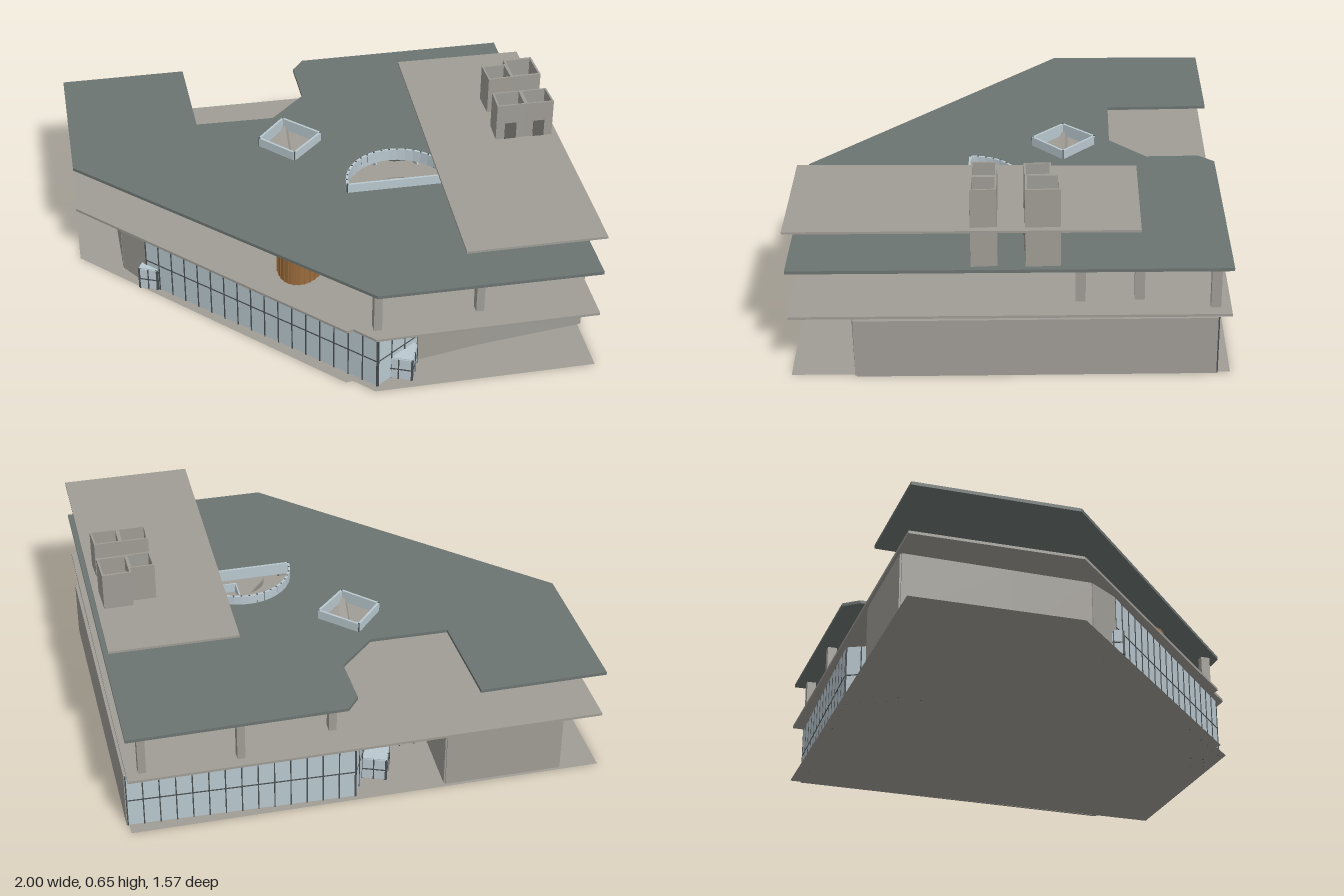
import * as THREE from 'three';

const mat = (color) => new THREE.MeshStandardMaterial({ color, side: THREE.DoubleSide });
const TILT = 0.38; // plan rotation of the building grid

export function createModel() {
  const root = new THREE.Group();
  const stone = mat(0xa09d96), dark = mat(0x6c7472), glass = mat(0xb9c8cf),
    frame = mat(0x4a5052), wood = mat(0x9a6b3c), shade = mat(0x66645f);

  const add = (name, geo, material, parent = root) => {
    const m = new THREE.Mesh(geo, material);
    m.name = name;
    parent.add(m);
    return m;
  };
  const group = (name) => {
    const g = new THREE.Group();
    g.name = name;
    root.add(g);
    return g;
  };
  // plan points are [x, z]
  const toV = (pts) => pts.map(([x, z]) => new THREE.Vector2(x, -z));
  const prism = (pts, y0, y1, holes = []) => {
    const s = new THREE.Shape(toV(pts));
    holes.forEach((h) => s.holes.push(new THREE.Path(toV(h))));
    return new THREE.ExtrudeGeometry(s, { depth: y1 - y0, bevelEnabled: false })
      .rotateX(-Math.PI / 2).translate(0, y0, 0);
  };
  const wall = (name, a, b, y0, y1, t, material, parent) => {
    const dx = b[0] - a[0], dz = b[1] - a[1];
    const m = add(name, new THREE.BoxGeometry(Math.hypot(dx, dz), y1 - y0, t), material, parent);
    m.position.set((a[0] + b[0]) / 2, (y0 + y1) / 2, (a[1] + b[1]) / 2);
    m.rotation.y = -Math.atan2(dz, dx);
    return m;
  };
  const lerp = (a, b, t) => [a[0] + (b[0] - a[0]) * t, a[1] + (b[1] - a[1]) * t];
  // glazed wall with mullions and one transom
  const glazing = (a, b, y1, parent, step = 0.055) => {
    wall('glassPane', a, b, 0.002, y1, 0.006, glass, parent);
    wall('transom', a, b, y1 * 0.5 - 0.002, y1 * 0.5 + 0.002, 0.009, frame, parent);
    const n = Math.max(1, Math.round(Math.hypot(b[0] - a[0], b[1] - a[1]) / step));
    for (let i = 0; i <= n; i++) {
      const p = lerp(a, b, i / n);
      const m = add('mullion', new THREE.BoxGeometry(0.004, y1, 0.01), frame, parent);
      m.position.set(p[0], y1 / 2, p[1]);
      m.rotation.y = -Math.atan2(b[1] - a[1], b[0] - a[0]);
    }
  };
  const loopWalls = (name, pts, y0, y1, t, material, parent) =>
    pts.forEach((p, i) => wall(name, p, pts[(i + 1) % pts.length], y0, y1, t, material, parent));

  // ground sheet and first floor slab
  const site = [[-1, -0.2], [0.48, -0.785], [1, 0.505], [0.33, 0.78], [0.25, 0.745], [0.23, 0.758], [-0.8, 0.315]];
  add('ground', new THREE.ShapeGeometry(new THREE.Shape(toV(site))).rotateX(-Math.PI / 2), stone);
  add('floorSlab', prism(site, 0.205, 0.214), stone);

  // ground floor envelope
  const walls = group('groundFloorWalls');
  const solid = (pts) => {
    for (let i = 0; i < pts.length - 1; i++) wall('solidWall', pts[i], pts[i + 1], 0, 0.205, 0.01, stone, walls);
  };
  solid([[-0.53, 0.40], [-0.635, 0.33], [-0.735, 0.09], [-0.87, -0.235], [-0.5, -0.38], [-0.42, -0.16]]);
  solid([[0.5, -0.745], [0.93, 0.31], [0.62, 0.48], [0.43, 0.6]]);
  const glazed = group('groundFloorGlazing');
  [
    [[-0.53, 0.40], [0.33, 0.752]], [[0.33, 0.752], [0.43, 0.6]],
    [[-0.42, -0.16], [-0.23, -0.24]], [[-0.23, -0.24], [-0.21, -0.49]], [[-0.21, -0.49], [0.5, -0.745]],
  ].forEach(([a, b]) => glazing(a, b, 0.205, glazed));

  // entrance vestibules
  const vestibules = group('vestibules');
  [[0.39, 0.66, 0.085], [-0.52, 0.395, 0.06], [-0.26, -0.35, 0.08]].forEach(([x, z, w]) => {
    const h = w / 2;
    const pts = [[x - h, z - h], [x + h, z - h], [x + h, z + h], [x - h, z + h]];
    pts.forEach((p, i) => glazing(p, pts[(i + 1) % 4], 0.08, vestibules, 0.04));
    add('vestibuleTop', prism(pts, 0.078, 0.083), glass, vestibules);
  });

  // main roof with courtyard notch, square skylight and half-round skylight
  const roofPlan = [[-1, -0.195], [-0.6, -0.355], [-0.46, -0.03], [-0.21, -0.125], [-0.14, -0.285],
    [-0.21, -0.45], [-0.19, -0.515], [0.48, -0.785], [1, 0.505], [0.33, 0.77], [-0.8, 0.308]];
  const square = [[-0.165, -0.085], [-0.02, -0.025], [-0.08, 0.11], [-0.215, 0.05]];
  const C = [0.295, 0.19];
  const arc = (r, n = 20) => Array.from({ length: n + 1 }, (_, i) => {
    const a = Math.PI - TILT + (Math.PI * i) / n;
    return [C[0] + r * Math.cos(a), C[1] + r * Math.sin(a)];
  });
  const half = arc(0.175);
  add('mainRoof', prism(roofPlan, 0.369, 0.38, [square, half]), dark);

  // skylight curbs
  const curbs = group('skylightCurbs');
  loopWalls('squareCurb', square, 0.37, 0.412, 0.008, glass, curbs);
  loopWalls('halfRoundCurb', half, 0.37, 0.412, 0.008, glass, curbs);
  [...square, ...half].forEach(([x, z]) => {
    add('curbMullion', new THREE.BoxGeometry(0.006, 0.043, 0.006), frame, curbs).position.set(x, 0.391, z);
  });
  // half-round planted shelf and sloped bowl
  add('skylightShelf', prism([...arc(0.172), ...arc(0.085).reverse()], 0.352, 0.36), stone);
  const bowl = add('skylightBowl',
    new THREE.CylinderGeometry(0.085, 0.03, 0.06, 16, 1, true, Math.PI / 2, Math.PI), stone);
  bowl.position.set(C[0], 0.325, C[1]);
  bowl.rotation.y = TILT;

  // branching support below the square skylight
  const tree = group('branchingSupport');
  const hub = new THREE.Vector3(-0.12, 0.27, 0.0125);
  square.forEach(([x, z]) => {
    const top = new THREE.Vector3(x, 0.375, z), d = top.clone().sub(hub);
    const m = add('branch', new THREE.BoxGeometry(0.026, d.length(), 0.026), stone, tree);
    m.position.copy(hub).addScaledVector(d, 0.5);
    m.quaternion.setFromUnitVectors(new THREE.Vector3(0, 1, 0), d.normalize());
  });
  const trunk = add('trunk', new THREE.BoxGeometry(0.035, 0.066, 0.035), stone, tree);
  trunk.position.set(hub.x, 0.247, hub.z);
  trunk.rotation.y = TILT;

  // inverted pyramid hanging under the roof
  const pyramid = add('invertedPyramid',
    new THREE.CylinderGeometry(0.155, 0.045, 0.075, 4, 1).rotateY(Math.PI / 4), stone);
  pyramid.material = new THREE.MeshStandardMaterial({ color: 0xa09d96, flatShading: true });
  pyramid.position.set(0.25, 0.334, -0.11);
  pyramid.rotation.y = TILT;

  // columns of the open storey
  const columns = group('columns');
  [[0.45, -0.72], [0.15, -0.6], [-0.12, -0.41], [-0.515, 0.22], [0.32, 0.72], [0.62, 0.56], [0.49, -0.48],
    [0.57, -0.31], [0.25, -0.31], [-0.2, 0.3], [0.18, 0.4], [0.52, 0.24]].forEach(([x, z]) => {
    const m = add('column', new THREE.BoxGeometry(0.026, 0.157, 0.032), stone, columns);
    m.position.set(x, 0.2915, z);
    m.rotation.y = TILT;
  });

  // timber drum room
  const drum = group('timberRoom');
  add('drumWall', new THREE.CylinderGeometry(1, 1, 0.121, 28), wood, drum);
  for (let i = 0; i < 28; i++) {
    const a = (i / 28) * Math.PI * 2;
    add('batten', new THREE.BoxGeometry(0.04, 0.121, 0.04), wood, drum).position.set(Math.cos(a), 0, Math.sin(a));
  }
  drum.scale.set(0.077, 1, 0.11);
  drum.position.set(0.018, 0.2745, 0.457);

  // glass railing around the floor opening
  const rail = group('railing');
  loopWalls('railPanel', [[0.1, -0.27], [0.23, -0.32], [0.48, 0.28], [0.34, 0.34]], 0.214, 0.248, 0.005, glass, rail);

  // upper canopy
  add('upperCanopy', prism([[0.19, -0.36], [0.59, -0.515], [1, 0.505], [0.585, 0.67]], 0.51, 0.518), stone);

  // hollow lift and stair shafts, each with doors on two levels
  const towers = group('shafts');
  [
    [[0.505, -0.185], [0.58, -0.215], [0.615, -0.14], [0.54, -0.107]],
    [[0.57, -0.24], [0.66, -0.278], [0.705, -0.178], [0.612, -0.14]],
    [[0.562, -0.027], [0.65, -0.062], [0.68, 0.013], [0.59, 0.05]],
    [[0.65, -0.062], [0.732, -0.095], [0.767, -0.02], [0.68, 0.013]],
  ].forEach((pts) => {
    const mid = lerp(pts[0], pts[2], 0.5);
    add('shaft', prism(pts, 0.37, 0.648, [pts.map((p) => lerp(p, mid, 0.13))]), stone, towers);
    [0.38, 0.518].forEach((y) =>
      wall('shaftDoor', lerp(pts[2], pts[3], 0.3), lerp(pts[2], pts[3], 0.7), y, y + 0.06, 0.004, shade, towers));
  });

  return root;
}
